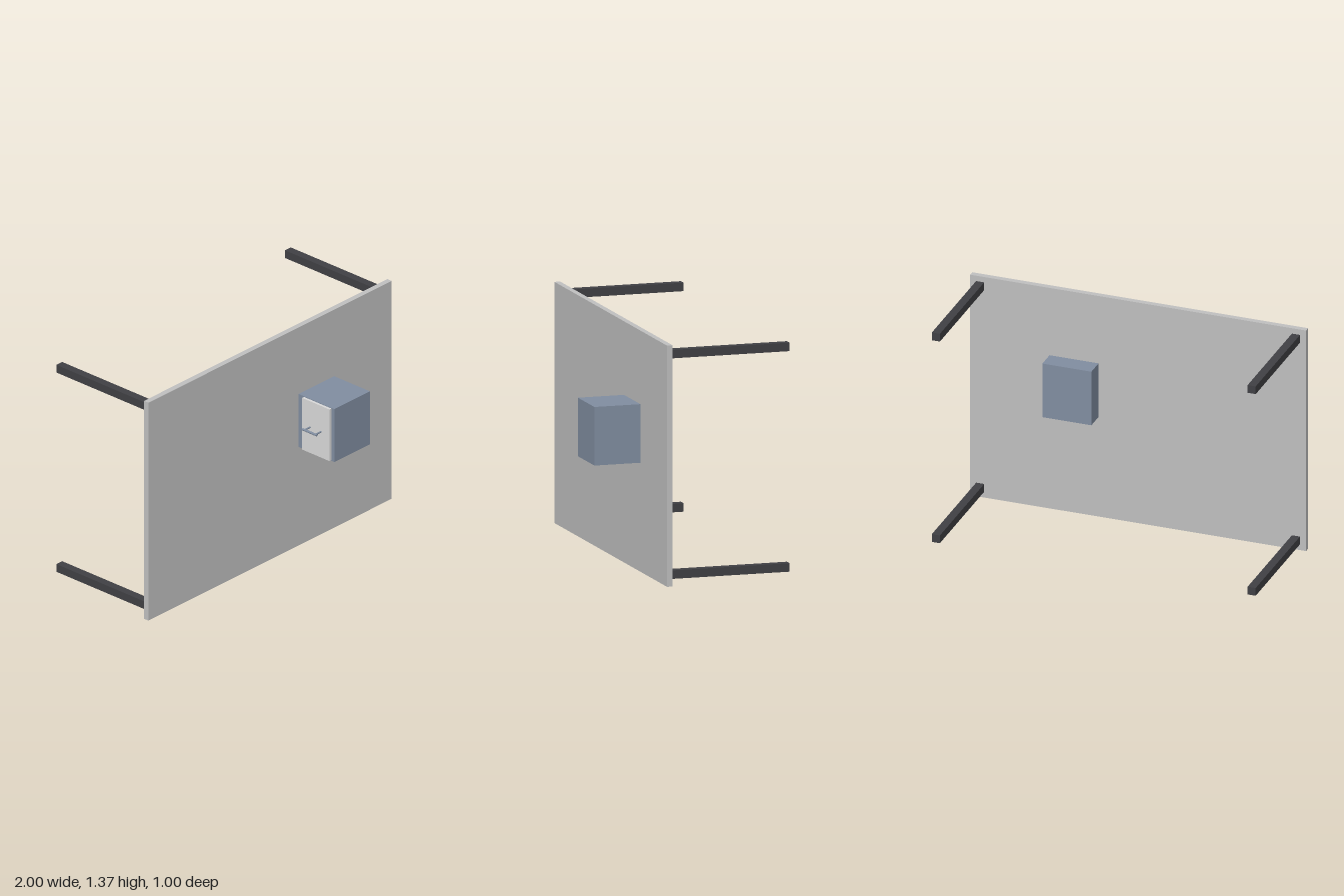
import * as THREE from 'three';

const mat = (name, color) => Object.assign(new THREE.MeshStandardMaterial({ color }), { name });

export function createModel() {
  const panelGrey = mat('panel grey', 0xbfbfbf);
  const cabinetBlue = mat('cabinet blue grey', 0x808da0);
  const legDark = mat('leg charcoal', 0x404044);
  const drawerLight = mat('drawer light grey', 0xd9d9d9);

  const model = new THREE.Group();
  model.name = 'tippedTable';

  // Box given by its min and max corners
  const box = (name, material, [x0, y0, z0], [x1, y1, z1]) => {
    const mesh = new THREE.Mesh(new THREE.BoxGeometry(x1 - x0, y1 - y0, z1 - z0), material);
    mesh.position.set((x0 + x1) / 2, (y0 + y1) / 2, (z0 + z1) / 2);
    mesh.name = name;
    model.add(mesh);
  };

  // Upright table top
  box('tableTop', panelGrey, [-1, 0, 0.197], [1, 1.367, 0.23]);

  // Four legs pointing backwards
  for (const x of [-0.94, 0.94])
    for (const y of [0.06, 1.31])
      box('leg', legDark, [x - 0.024, y - 0.024, -0.5], [x + 0.024, y + 0.024, 0.197]);

  // Cabinet passing through the top, with a drawer front on its right side
  box('cabinet', cabinetBlue, [0.235, 0.618, 0.083], [0.527, 0.95, 0.5]);
  box('drawerFront', drawerLight, [0.219, 0.622, 0.272], [0.235, 0.946, 0.478]);

  // Bar handle on two posts
  const handle = new THREE.Group();
  handle.name = 'handle';
  handle.position.set(0, 0.784, 0.373);
  const bar = new THREE.Mesh(new THREE.CylinderGeometry(0.007, 0.007, 0.107, 16), cabinetBlue);
  bar.name = 'handleBar';
  bar.rotation.x = Math.PI / 2;
  bar.position.x = 0.172;
  handle.add(bar);
  for (const side of [-1, 1]) {
    const post = new THREE.Mesh(new THREE.CylinderGeometry(0.005, 0.005, 0.047, 12), cabinetBlue);
    post.name = 'handlePost';
    post.rotation.z = Math.PI / 2;
    post.position.set(0.1955, 0, side * 0.041);
    handle.add(post);
  }
  model.add(handle);

  return model;
}
